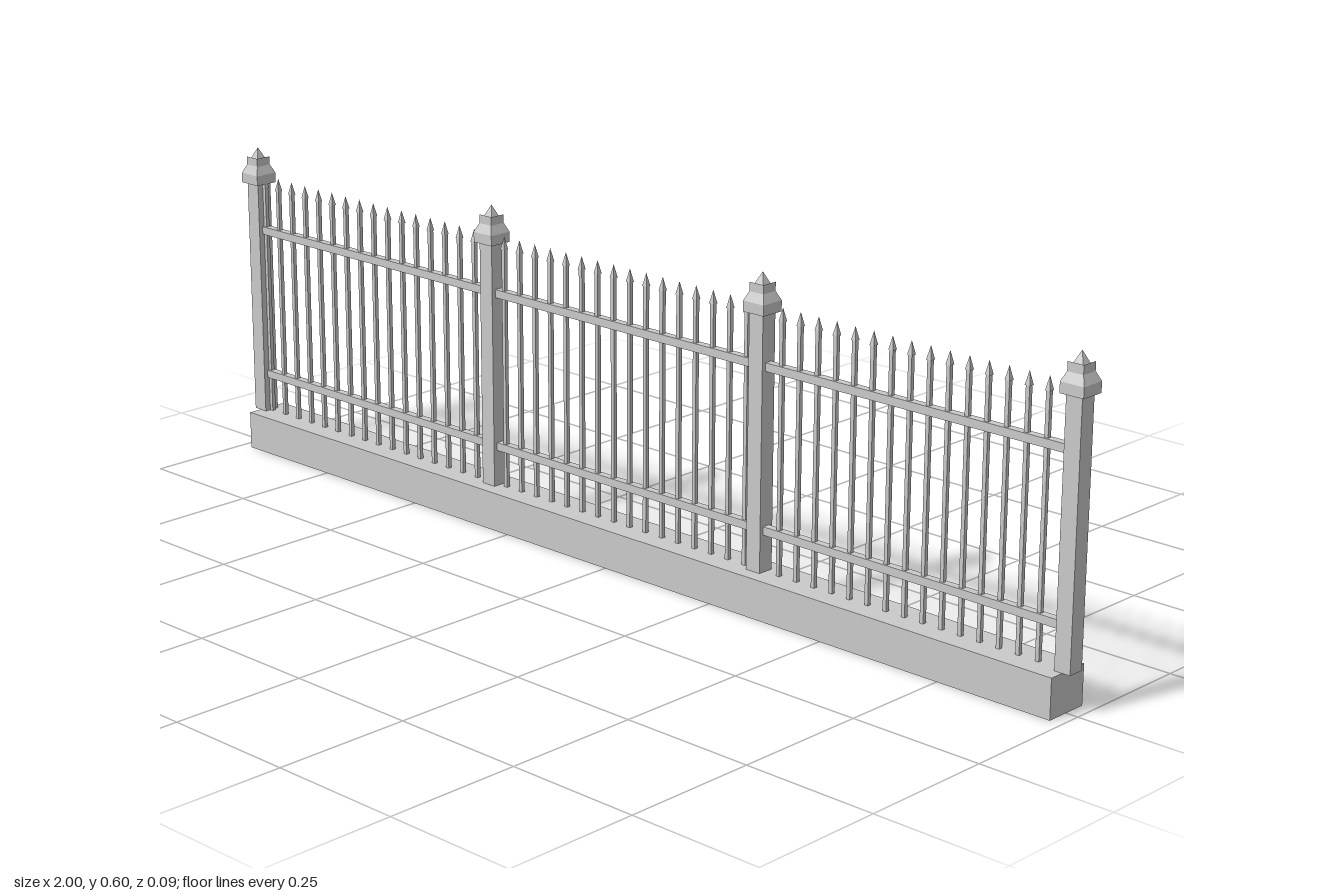
import * as THREE from 'three';

const stone = new THREE.MeshStandardMaterial({ color: 0xcacaca });
stone.name = 'light grey';

const BASE_TOP = 0.072;

export function createModel() {
  const fence = new THREE.Group();
  fence.name = 'fence';

  const add = (parent, name, geometry, x, y) => {
    const mesh = new THREE.Mesh(geometry, stone);
    mesh.name = name;
    mesh.position.set(x, y, 0);
    parent.add(mesh);
  };

  // Four-sided point with flat faces, sides aligned to the axes
  const pyramid = (halfWidth, height) => {
    const g = new THREE.ConeGeometry(halfWidth * Math.SQRT2, height, 4, 1);
    g.rotateY(Math.PI / 4);
    const flat = g.toNonIndexed();
    flat.computeVertexNormals();
    return flat;
  };

  // Box without its top face
  const openBox = (width, height, depth) => {
    const g = new THREE.BoxGeometry(width, height, depth);
    g.setIndex(Array.from(g.index.array).filter((_, i) => i < 12 || i >= 18));
    g.clearGroups();
    return g;
  };

  // Plinth
  add(fence, 'base', new THREE.BoxGeometry(1.954, BASE_TOP, 0.085), 0, BASE_TOP / 2);

  // Four posts: an open shaft rising through a block and pyramid cap
  const shaft = openBox(0.0308, 0.58 - BASE_TOP, 0.0308);
  const capBlock = new THREE.BoxGeometry(0.0456, 0.019, 0.0456);
  const capPoint = pyramid(0.0228, 0.05);
  for (let i = 0; i < 4; i++) {
    const x = -0.977 + (i * 1.954) / 3;
    const post = new THREE.Group();
    post.name = 'post';
    fence.add(post);
    add(post, 'postShaft', shaft, x, (0.58 + BASE_TOP) / 2);
    add(post, 'capBlock', capBlock, x, 0.5385);
    add(post, 'capPoint', capPoint, x, 0.573);
  }

  // Two horizontal rails running through the posts
  for (const y of [0.147, 0.437]) {
    add(fence, 'rail', new THREE.BoxGeometry(1.93, 0.015, 0.015), 0, y);
  }

  // Evenly spaced pickets with pointed tips
  const bar = new THREE.BoxGeometry(0.0074, 0.522 - BASE_TOP, 0.0074);
  const tip = pyramid(0.005, 0.024);
  for (let k = 0; k < 50; k++) {
    const x = (k - 24.5) * 0.0391;
    const picket = new THREE.Group();
    picket.name = 'picket';
    fence.add(picket);
    add(picket, 'picketBar', bar, x, (0.522 + BASE_TOP) / 2);
    add(picket, 'picketTip', tip, x, 0.533);
  }

  return fence;
}
